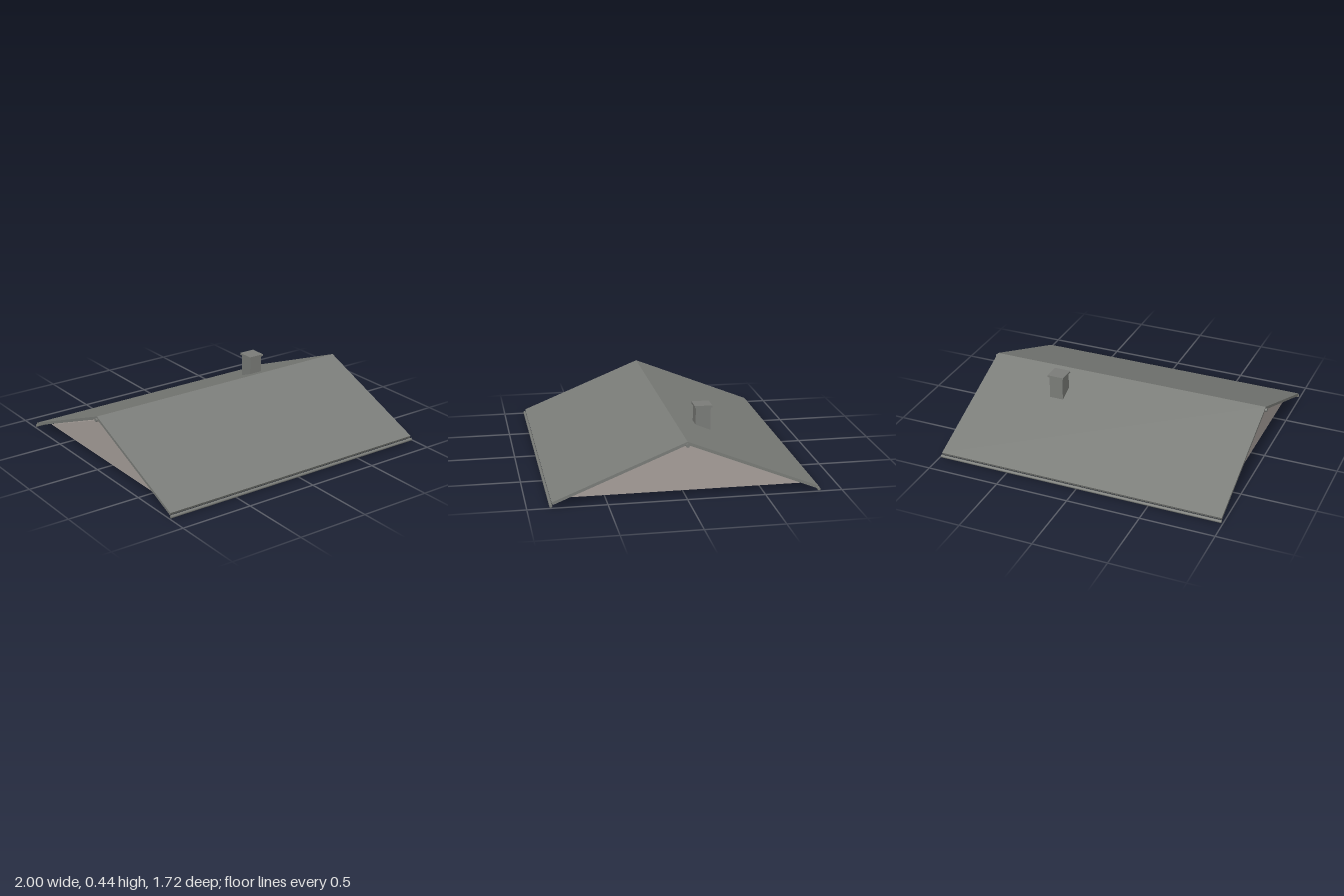
import * as THREE from 'three';

// Extrude a (z, y) cross-section along x, centred on x = 0
function extrudeX(points, length) {
  const shape = new THREE.Shape(points.map(([z, y]) => new THREE.Vector2(z, y)));
  const geometry = new THREE.ExtrudeGeometry(shape, { depth: length, bevelEnabled: false });
  return geometry.translate(0, 0, -length / 2).rotateY(Math.PI / 2);
}

export function createModel() {
  const group = new THREE.Group();
  const slate = new THREE.MeshStandardMaterial({ color: 0x7b7d79 });
  slate.name = 'slateGrey';
  const wall = new THREE.MeshStandardMaterial({ color: 0xa8a09b });
  wall.name = 'warmGrey';

  function add(name, geometry, material, x = 0, y = 0, z = 0) {
    const mesh = new THREE.Mesh(geometry, material);
    mesh.name = name;
    mesh.position.set(x, y, z);
    group.add(mesh);
  }

  // Thin pitched roof covering
  add('roofSlab', extrudeX([
    [-0.847, 0.033], [-0.84, 0.016], [0, 0.355],
    [0.84, 0.016], [0.847, 0.033], [0, 0.375],
  ], 1.976), slate);

  // Solid attic below it, set in from the edges
  add('gableBody', extrudeX([[-0.76, 0.034], [0.76, 0.034], [0, 0.338]], 1.84), wall);

  // Ridge pole that sticks out a little at both ends
  const ridge = new THREE.CylinderGeometry(0.013, 0.013, 2, 8).rotateZ(Math.PI / 2);
  add('ridgePole', ridge, slate, 0, 0.352, 0);

  // Gutters along both eaves
  for (const side of [-1, 1]) {
    const gutter = new THREE.CylinderGeometry(0.01, 0.01, 1.98, 8).rotateZ(Math.PI / 2);
    add(side > 0 ? 'frontGutter' : 'backGutter', gutter, slate, 0, 0.01, side * 0.852);
  }

  // Chimney on the back slope
  add('chimneyStack', new THREE.BoxGeometry(0.096, 0.225, 0.1), slate, 0.412, 0.3155, -0.21);
  add('chimneyCap', new THREE.BoxGeometry(0.114, 0.014, 0.116), slate, 0.412, 0.433, -0.21);

  return group;
}
